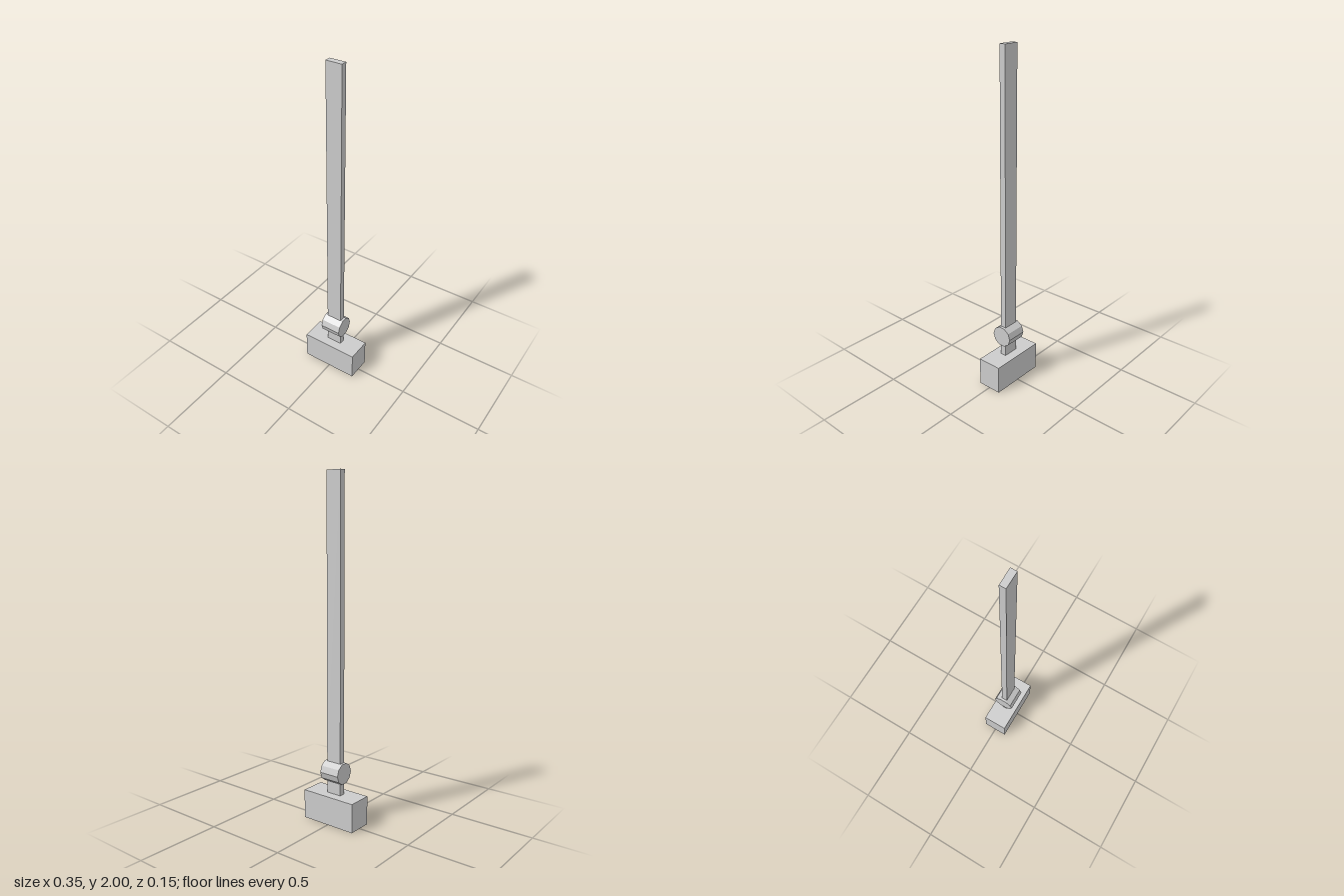
import * as THREE from 'three';

const material = new THREE.MeshStandardMaterial({ color: 0xcccccc, flatShading: true });

function add(parent, name, geometry, y) {
  const mesh = new THREE.Mesh(geometry, material);
  mesh.name = name;
  mesh.position.y = y;
  parent.add(mesh);
  return mesh;
}

function rectangle(target, w, d) {
  target.moveTo(-w / 2, -d / 2);
  target.lineTo(w / 2, -d / 2);
  target.lineTo(w / 2, d / 2);
  target.lineTo(-w / 2, d / 2);
  target.closePath();
  return target;
}

export function createModel() {
  const model = new THREE.Group();
  model.name = 'hingedPole';

  // Hollow base, open underneath: four walls closed by a lid
  const width = 0.349, depth = 0.149, height = 0.172, wall = 0.018;
  const base = new THREE.Group();
  base.name = 'base';
  model.add(base);

  const outline = rectangle(new THREE.Shape(), width, depth);
  outline.holes.push(rectangle(new THREE.Path(), width - 2 * wall, depth - 2 * wall));
  const walls = new THREE.ExtrudeGeometry(outline, { depth: height - wall, bevelEnabled: false });
  walls.rotateX(-Math.PI / 2);
  add(base, 'baseWalls', walls, 0);
  add(base, 'baseLid', new THREE.BoxGeometry(width, wall, depth), height - wall / 2);

  // Ten-sided hinge barrel lying along x
  const hingeY = 0.304;
  const barrel = new THREE.CylinderGeometry(0.0635, 0.0635, 0.126, 10);
  barrel.rotateZ(Math.PI / 2);
  add(model, 'hingeBarrel', barrel, hingeY);

  // Flat bars below and above the hinge, sunk slightly into the barrel
  const bar = (name, y0, y1) =>
    add(model, name, new THREE.BoxGeometry(0.095, y1 - y0, 0.036), (y0 + y1) / 2);
  bar('lowerNeck', height, hingeY - 0.05);
  bar('pole', hingeY + 0.05, 2);

  return model;
}
